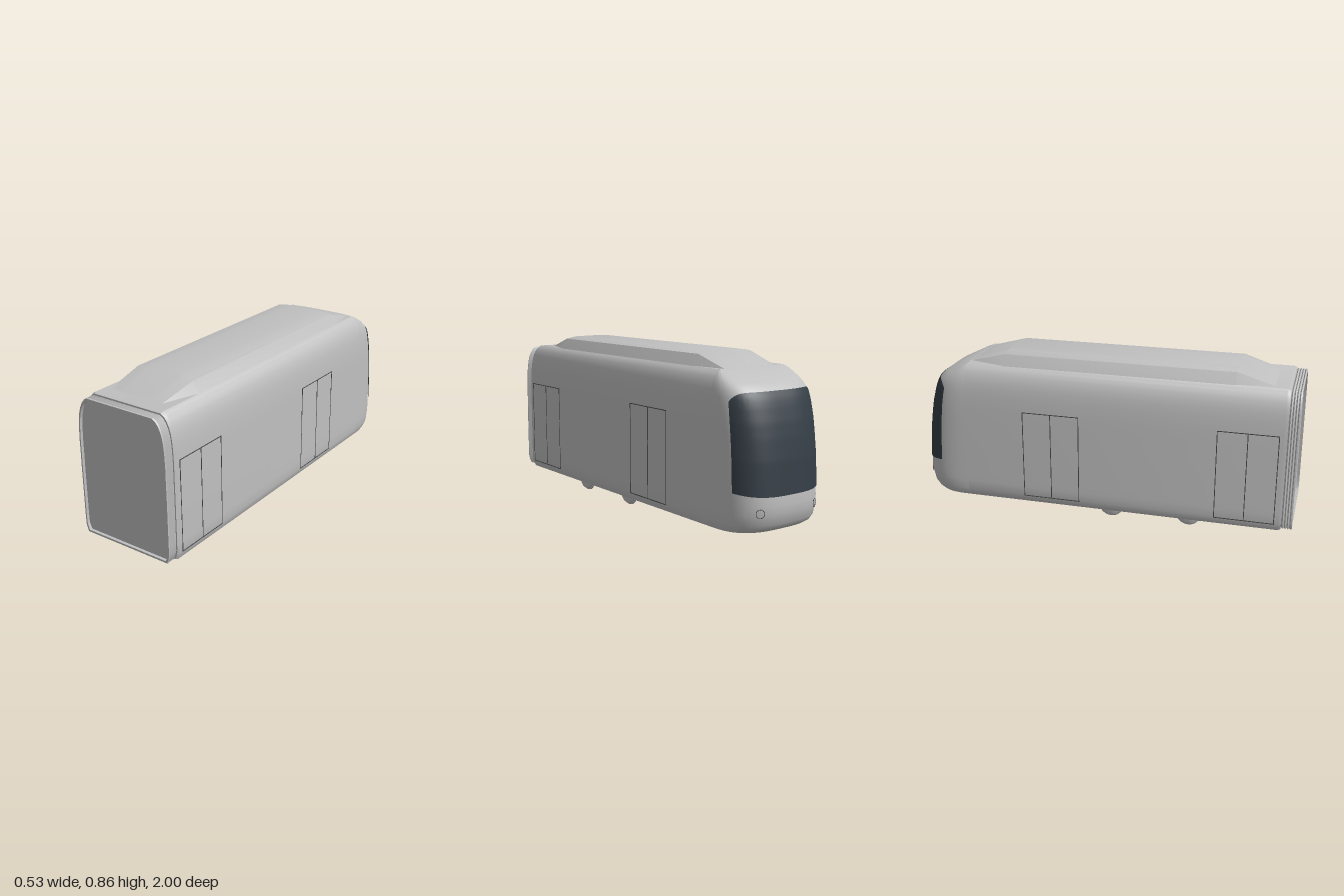
import * as THREE from 'three';
import { toCreasedNormals } from 'three/addons/utils/BufferGeometryUtils.js';

// Body outline and nose, from the bottom up: [height, half width, nose tip z]
const LEVELS = [
  [0.07, 0.25, -0.72], [0.07, 0.25, -0.94], [0.085, 0.257, -0.965], [0.11, 0.264, -0.983],
  [0.16, 0.265, -0.996], [0.2, 0.265, -1], [0.26, 0.265, -0.995], [0.4, 0.265, -0.984],
  [0.5, 0.264, -0.969], [0.57, 0.264, -0.955], [0.64, 0.261, -0.935], [0.68, 0.257, -0.92],
  [0.71, 0.252, -0.9], [0.74, 0.243, -0.858], [0.765, 0.231, -0.805], [0.783, 0.217, -0.765],
  [0.795, 0.198, -0.72],
];
const NOSE_Z = -0.72;

// Surface from a function of two integer steps
function grid(nu, nv, fn, crease = 0.5) {
  const pos = [], index = [];
  for (let i = 0; i <= nu; i++) {
    for (let j = 0; j <= nv; j++) {
      pos.push(...fn(i, j));
      if (i < nu && j < nv) {
        const a = i * (nv + 1) + j, b = a + nv + 1;
        index.push(a, b, a + 1, b, b + 1, a + 1);
      }
    }
  }
  const geo = new THREE.BufferGeometry();
  geo.setAttribute('position', new THREE.Float32BufferAttribute(pos, 3));
  geo.setIndex(index);
  return toCreasedNormals(geo, crease);
}

// Rounded plan outline of the nose at one level, t from left (0) to right (PI)
function nosePoint([y, w, tip], t, offset = 0) {
  const c = Math.cos(t), s = Math.max(0, Math.sin(t));
  const x = Math.sign(c) * Math.pow(Math.abs(c), 2 / 3) * (w + offset);
  return [x, y, NOSE_Z + (tip - offset - NOSE_Z) * Math.pow(s, 2 / 3)];
}

function levelAt(y) {
  let k = 2;
  while (LEVELS[k][0] < y) k++;
  const a = LEVELS[k - 1], b = LEVELS[k], f = (y - a[0]) / (b[0] - a[0]);
  return a.map((v, i) => v + (b[i] - v) * f);
}

export function createModel() {
  const model = new THREE.Group();
  const bodyPaint = new THREE.MeshStandardMaterial({ color: 0xc0c0c0 });
  bodyPaint.name = 'body grey';
  const glass = new THREE.MeshStandardMaterial({ color: 0x353e46, side: THREE.DoubleSide });
  glass.name = 'dark glass';
  const seamPaint = new THREE.MeshStandardMaterial({ color: 0x4a4a4a });
  seamPaint.name = 'seam grey';

  const add = (name, geo, mat, parent = model) => {
    const mesh = new THREE.Mesh(geo, mat);
    mesh.name = name;
    parent.add(mesh);
    return mesh;
  };

  // Straight body with ribbed connecting end: rows of [z, section scale]
  const half = LEVELS.slice(1).map(([y, w]) => [w, y]);
  const ring = [...half, ...half.slice().reverse().map(([x, y]) => [-x, y]), half[0]];
  const loft = (rows) => grid(rows.length - 1, ring.length - 1, (i, j) => {
    const [z, s] = rows[i], [x, y] = ring[j];
    return [x * s, 0.43 + (y - 0.43) * s, z];
  });
  const ribs = [[0.985, 0], [0.985, 0.945], [1, 0.945], [1, 0.972]];
  for (let k = 0; k < 4; k++) {
    const z = 0.993 - k * 0.013;
    ribs.push([z, 0.978], [z - 0.006, 0.962]);
  }
  add('connectingEnd', loft([...ribs, [0.94, 0.962]]), bodyPaint);
  add('body', loft([[0.945, 0.94], [0.945, 0.985], [0.93, 1], [NOSE_Z, 1]]), bodyPaint);

  // Rounded nose with flat underside
  add('nose', grid(56, LEVELS.length - 1,
    (i, j) => nosePoint(LEVELS[j], (i / 56) * Math.PI)), bodyPaint);

  // Wraparound windscreen with rounded upper corners
  const edge = 0.42;
  add('windscreen', grid(48, 30, (i, j) => {
    const k = (i / 48) * 2 - 1;
    const t = Math.PI / 2 + k * (Math.PI / 2 - edge);
    const low = 0.242 + 0.016 * k * k, high = 0.705 - 0.04 * Math.pow(k, 6);
    return nosePoint(levelAt(low + (high - low) * (j / 30)), t, 0.004);
  }), glass);

  // Roof fairing with ramped ends: rows of [z, width scale, height scale]
  const podSection = [[0.2, 0], [0.165, 0.055], [0.14, 0.06], [0.1, 0.066], [0, 0.067]];
  const podRing = [...podSection, ...podSection.slice(0, -1).reverse().map(([x, y]) => [-x, y])];
  const podRows = [[0.87, 0.84, 0], [0.68, 1, 1], [-0.52, 1, 1], [NOSE_Z, 0.85, 0]];
  add('roofFairing', grid(podRows.length - 1, podRing.length - 1, (i, j) => {
    const [z, sx, sy] = podRows[i], [x, y] = podRing[j];
    return [x * sx, 0.794 + y * sy, z];
  }, 0.35), bodyPaint);

  // Door seams on both sides: rear edge, centre line, front edge
  for (const side of [1, -1]) {
    for (const [name, z0, z1] of [['rearDoor', 0.91, 0.61], ['frontDoor', -0.1, -0.4]]) {
      const door = new THREE.Group();
      door.name = name + 'Seams';
      model.add(door);
      for (const z of [z0, (z0 + z1) / 2, z1]) {
        add('uprightSeam', new THREE.BoxGeometry(0.006, 0.47, 0.004), seamPaint, door)
          .position.set(side * 0.2628, 0.34, z);
      }
      for (const y of [0.107, 0.573]) {
        add('crossSeam', new THREE.BoxGeometry(0.006, 0.004, z0 - z1), seamPaint, door)
          .position.set(side * 0.2625, y, (z0 + z1) / 2);
      }
    }
    // Headlamp outline
    const lamp = add('headlampRing', new THREE.TorusGeometry(0.02, 0.0015, 6, 24), seamPaint);
    lamp.position.set(side * 0.17, 0.17, -0.972);
    lamp.rotation.y = -side * 0.5;
  }

  // Wheels with inner flange, and axles
  const wheelProfile = [[0, -0.013], [0.06, -0.013], [0.068, -0.009], [0.067, -0.003],
    [0.06, 0], [0.057, 0.011], [0.05, 0.014], [0, 0.014]].map(([r, h]) => new THREE.Vector2(r, h));
  const wheelGeo = toCreasedNormals(new THREE.LatheGeometry(wheelProfile, 32), 0.6);
  for (const z of [0.465, 0.05]) {
    for (const side of [1, -1]) {
      const wheel = add('wheel', wheelGeo, bodyPaint);
      wheel.position.set(side * 0.173, 0.068, z);
      wheel.rotation.z = -side * Math.PI / 2;
    }
    const axle = add('axle', new THREE.CylinderGeometry(0.006, 0.006, 0.34, 12), bodyPaint);
    axle.position.set(0, 0.068, z);
    axle.rotation.z = Math.PI / 2;
  }
  return model;
}
